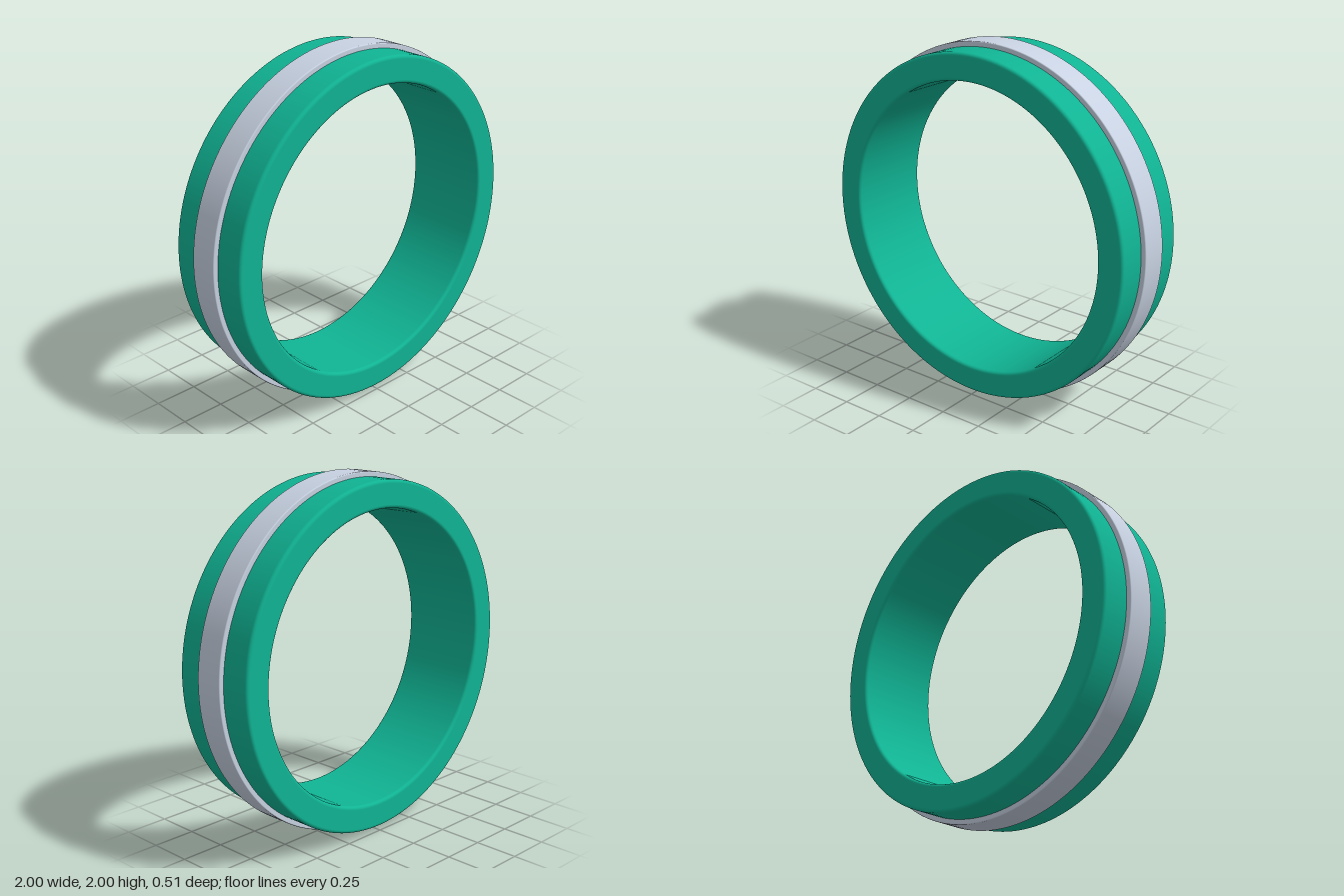
import * as THREE from 'three';

// Closed rounded-rectangle section, starting mid-way up the outer face
function section(inner, outer, half, r, steps = 6) {
  const pts = [new THREE.Vector2(outer, 0)];
  const guard = r * 0.05; // extra point beside each corner keeps the flats evenly shaded
  const corners = [
    [outer - r, half - r, 0],
    [inner + r, half - r, 1],
    [inner + r, -half + r, 2],
    [outer - r, -half + r, 3],
  ];
  for (const [cx, cy, q] of corners) {
    const at = (t, along) => {
      const a = (q + t) * Math.PI / 2;
      return new THREE.Vector2(
        cx + r * Math.cos(a) - along * Math.sin(a),
        cy + r * Math.sin(a) + along * Math.cos(a));
    };
    pts.push(at(0, -guard));
    for (let i = 0; i <= steps; i++) pts.push(at(i / steps, 0));
    pts.push(at(1, guard));
  }
  pts.push(new THREE.Vector2(outer, 0));
  return pts;
}

// Ring turned about the z axis, standing on the ground
function ring(name, color, ...size) {
  const geometry = new THREE.LatheGeometry(section(...size), 160);
  geometry.rotateX(Math.PI / 2);
  geometry.translate(0, 1, 0);
  const mesh = new THREE.Mesh(geometry, new THREE.MeshStandardMaterial({ color }));
  mesh.name = name;
  return mesh;
}

export function createModel() {
  const group = new THREE.Group();
  group.name = 'bandedRing';
  // Wide coloured body
  group.add(ring('ringBody', 0x10b494, 0.82, 0.972, 0.255, 0.018));
  // Narrow raised band around the middle, set into the body
  group.add(ring('centreBand', 0xc8d2e2, 0.93, 1.0, 0.083, 0.006));
  return group;
}
